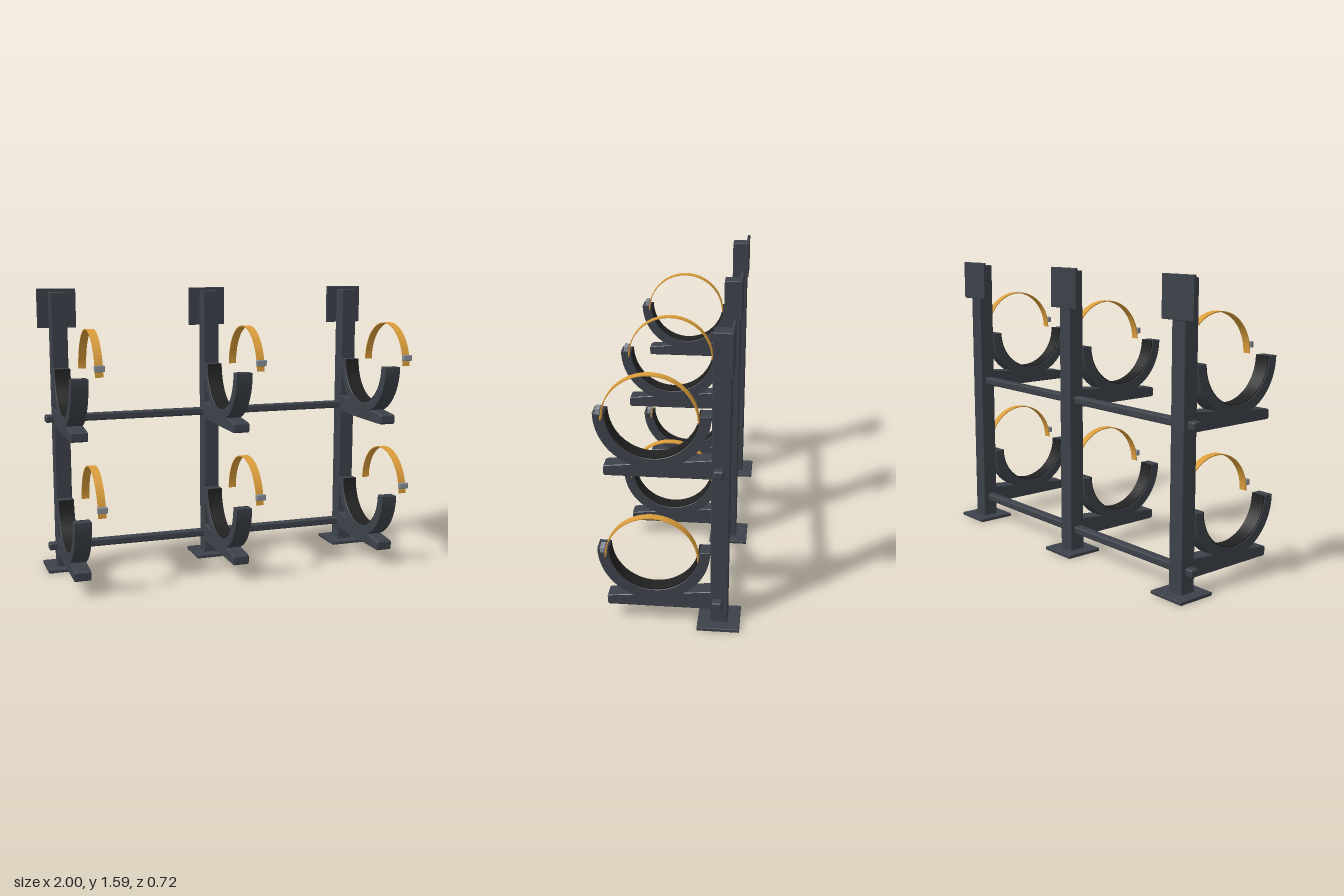
import * as THREE from 'three';
import { toCreasedNormals } from 'three/addons/utils/BufferGeometryUtils.js';
import { RoundedBoxGeometry } from 'three/addons/geometries/RoundedBoxGeometry.js';

const material = (name, color) => {
  const m = new THREE.MeshStandardMaterial({ color });
  m.name = name;
  return m;
};

// Extrudes a side profile (shape x = depth, shape y = height) to a width along x
function sideExtrude(shape, width, bevel = 0) {
  const depth = width - 2 * bevel;
  const g = new THREE.ExtrudeGeometry(shape, {
    depth, curveSegments: 40, bevelEnabled: bevel > 0,
    bevelSize: bevel, bevelThickness: bevel, bevelOffset: -bevel, bevelSegments: 1,
  });
  g.translate(0, 0, -depth / 2);
  g.rotateY(-Math.PI / 2);
  return toCreasedNormals(g, 0.5);
}

// Half ring profile between two angles
function arcShape(inner, outer, from, to) {
  const s = new THREE.Shape();
  s.absarc(0, 0, outer, from, to, false);
  s.absarc(0, 0, inner, to, from, true);
  s.closePath();
  return s;
}

export function createModel() {
  const steel = material('dark steel', 0x3c4149);
  const rubber = material('black rubber', 0x212121);
  const webbing = material('amber webbing', 0xdb9d3a);
  const metal = material('buckle metal', 0x8a9099);

  const POST_Z = -0.251, CRADLE_Z = 0.08;
  const postXs = [-0.892, -0.015, 0.862];
  const tierYs = [0, 0.737];

  const model = new THREE.Group();
  model.name = 'cradleRack';
  const add = (parent, name, geometry, mat, x, y, z) => {
    const mesh = new THREE.Mesh(geometry, mat);
    mesh.name = name;
    mesh.position.set(x, y, z);
    parent.add(mesh);
  };

  // Tapered support arm with slightly cut front corners
  const armShape = new THREE.Shape([
    [-0.215, 0.09], [0.312, 0.09], [0.32, 0.098], [0.32, 0.136], [0.312, 0.143], [-0.215, 0.192],
  ].map(([z, y]) => new THREE.Vector2(z, y)));

  // Shared geometries
  const geo = {
    post: new RoundedBoxGeometry(0.09, 1.56, 0.09, 2, 0.006),
    base: new RoundedBoxGeometry(0.216, 0.018, 0.216, 1, 0.003),
    plate: new RoundedBoxGeometry(0.216, 0.216, 0.016, 1, 0.003),
    arm: sideExtrude(armShape, 0.088, 0.003),
    cradle: sideExtrude(arcShape(0.229, 0.284, Math.PI, 2 * Math.PI), 0.09, 0.002),
    liner: sideExtrude(arcShape(0.223, 0.231, Math.PI, 2 * Math.PI), 0.082),
    strap: sideExtrude(arcShape(0.227, 0.232, 0, Math.PI), 0.043),
    buckle: new RoundedBoxGeometry(0.054, 0.033, 0.025, 1, 0.004),
    rail: new RoundedBoxGeometry(1.93, 0.042, 0.052, 3, 0.01),
  };

  postXs.forEach((x) => {
    // Upright with foot and rear mounting plate
    const upright = new THREE.Group();
    upright.name = 'upright';
    upright.position.x = x;
    model.add(upright);
    add(upright, 'post', geo.post, steel, 0, 0.79, POST_Z);
    add(upright, 'basePlate', geo.base, steel, 0, 0.009, POST_Z);
    add(upright, 'mountingPlate', geo.plate, steel, 0, 1.479, -0.297);

    // Two cradle stations per upright
    tierYs.forEach((y) => {
      const station = new THREE.Group();
      station.name = 'cradleStation';
      station.position.y = y;
      upright.add(station);
      add(station, 'supportArm', geo.arm, steel, 0, 0, 0);
      add(station, 'cradle', geo.cradle, steel, 0, 0.417, CRADLE_Z);
      add(station, 'cradleLiner', geo.liner, rubber, 0, 0.417, CRADLE_Z);
      add(station, 'strap', geo.strap, webbing, 0.11, 0.417, CRADLE_Z);
      add(station, 'buckle', geo.buckle, metal, 0.11, 0.463, 0.32);
    });
  });

  // Cross rails joining the uprights
  tierYs.forEach((y) => add(model, 'crossRail', geo.rail, steel, -0.016, 0.132 + y, -0.243));

  return model;
}
